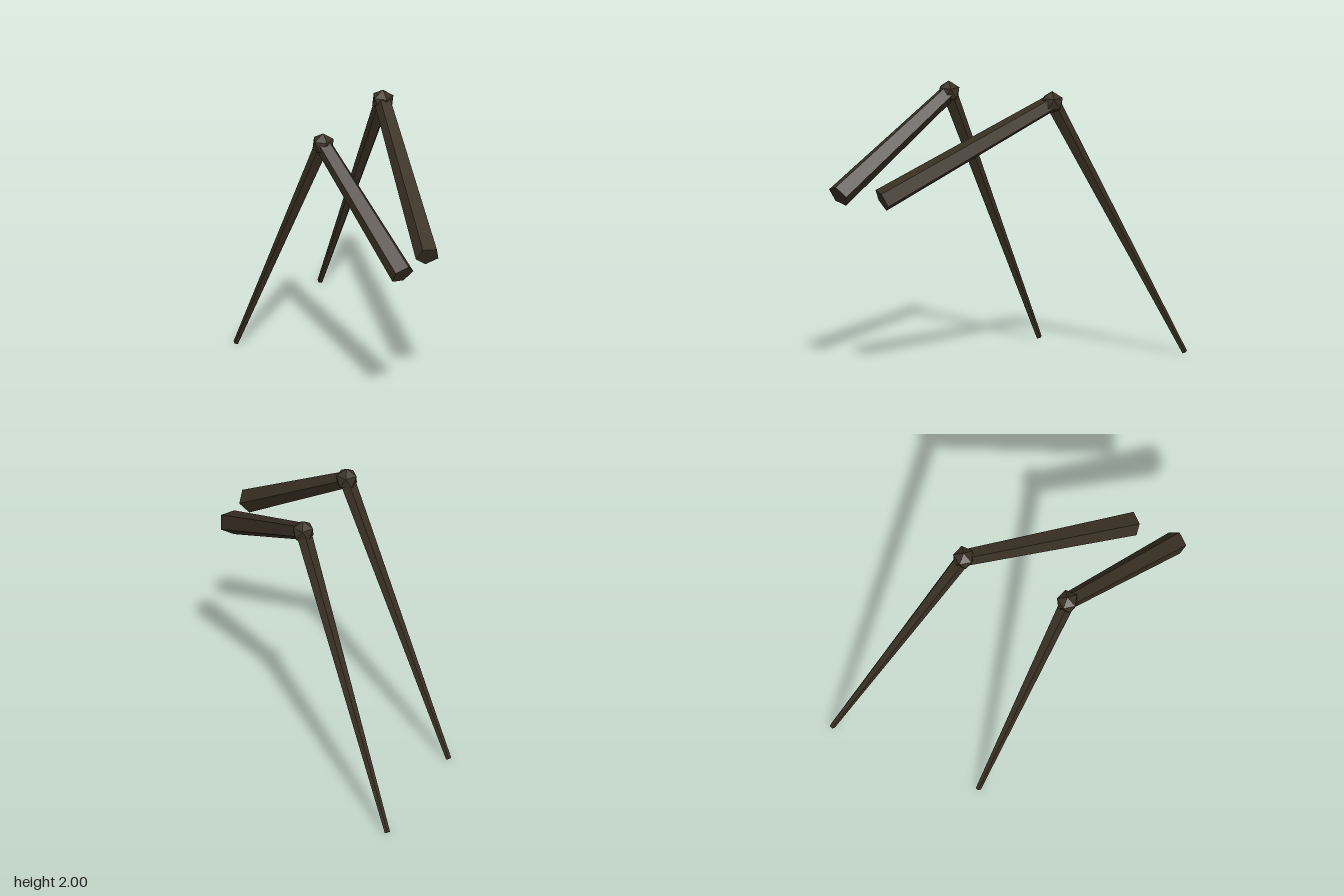
import * as THREE from 'three';

const shell = new THREE.MeshStandardMaterial({ color: 0x3a3024, flatShading: true });
shell.name = 'dark brown';

// Five-sided tapered segment from a to b; one corner points along ref
function segment(name, a, b, ra, rb, ref) {
  const along = b.clone().sub(a);
  const mesh = new THREE.Mesh(new THREE.CylinderGeometry(rb, ra, along.length(), 5), shell);
  const y = along.clone().normalize();
  const z = ref.clone().addScaledVector(y, -ref.dot(y)).normalize();
  const x = new THREE.Vector3().crossVectors(y, z);
  mesh.quaternion.setFromRotationMatrix(new THREE.Matrix4().makeBasis(x, y, z));
  mesh.position.copy(a).add(b).multiplyScalar(0.5);
  mesh.name = name;
  return mesh;
}

// Icosahedron turned so that a corner points straight up
function kneeBall(center, radius) {
  const geo = new THREE.IcosahedronGeometry(radius, 0);
  geo.rotateZ(Math.atan2(1, (1 + Math.sqrt(5)) / 2));
  const mesh = new THREE.Mesh(geo, shell);
  mesh.position.copy(center);
  mesh.name = 'knee';
  return mesh;
}

const V = (x, y, z) => new THREE.Vector3(x, y, z);

export function createModel() {
  const model = new THREE.Group();
  model.name = 'legPair';

  const legs = [
    { name: 'frontLeg', hip: V(0.88, 1.32, 0.885), knee: V(-0.035, 1.917, 0.46), foot: V(-0.922, 0.01, 0.177), corner: V(-0.024, -0.073, -0.049) },
    { name: 'backLeg', hip: V(0.88, 1.32, 0.55), knee: V(-0.035, 1.917, -0.335), foot: V(-0.922, 0.01, -0.942), corner: V(-0.034, -0.08, -0.02) },
  ];
  for (const { name, hip, knee, foot, corner } of legs) {
    const leg = new THREE.Group();
    leg.name = name;
    leg.add(
      segment('upperLeg', knee, hip, 0.062, 0.087, corner),
      kneeBall(knee, 0.083),
      segment('lowerLeg', knee, foot, 0.057, 0.02, V(0, 0, 1)),
    );
    model.add(leg);
  }
  return model;
}
